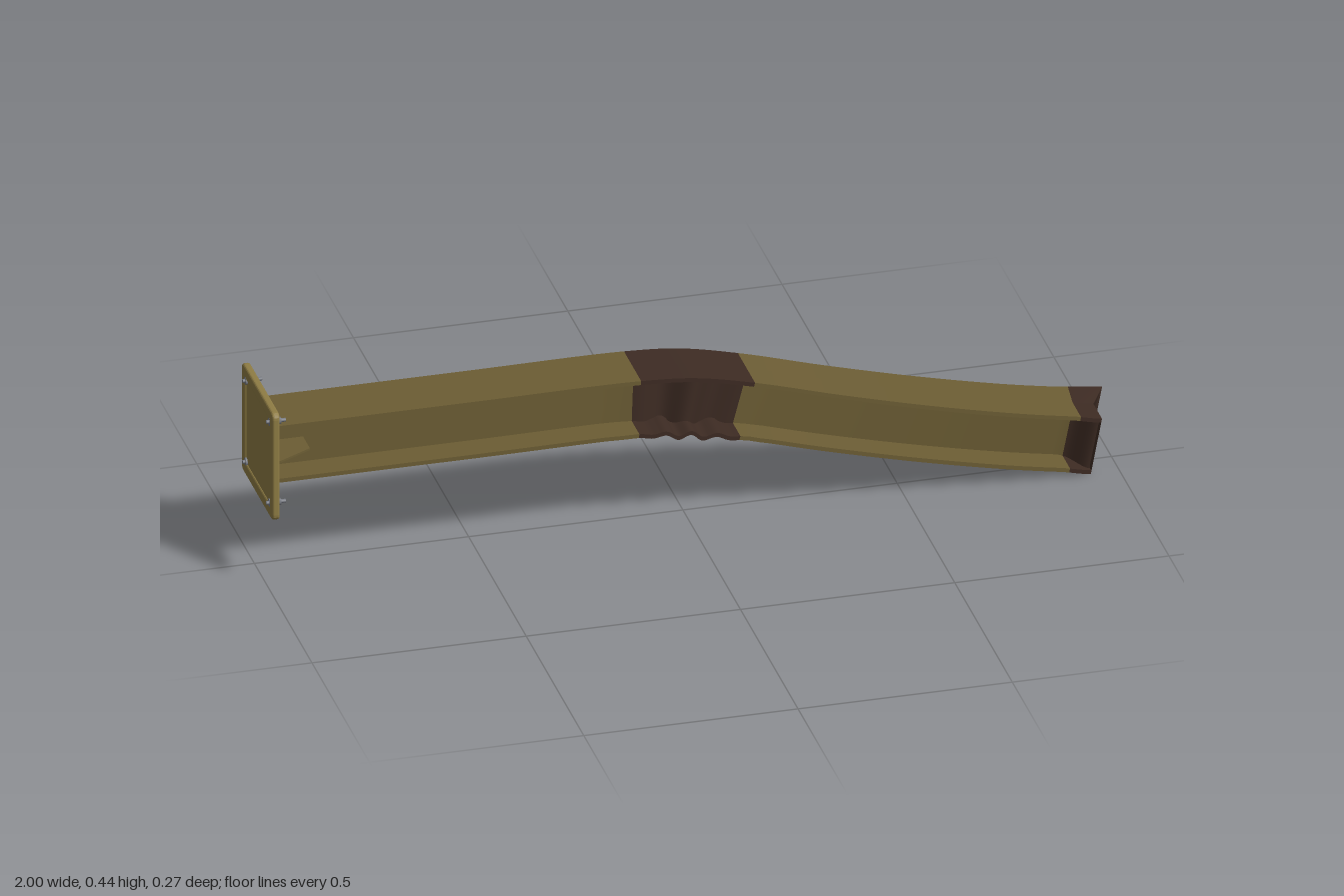
import * as THREE from 'three';

const paint = (name, color, side = THREE.FrontSide) => {
  const m = new THREE.MeshStandardMaterial({ color, side });
  m.name = name;
  return m;
};

// Centreline of the bent beam; numbered points are also the colour breaks
const points = [
  [-0.985, 0.318], [-0.5, 0.318], [-0.12, 0.318], [0, 0.31], [0.13, 0.28],
  [0.33, 0.222], [0.55, 0.164], [0.76, 0.116], [0.9, 0.09], [0.965, 0.079],
];
const path = new THREE.CatmullRomCurve3(points.map(([x, y]) => new THREE.Vector3(x, y, 0)));
const LAST = points.length - 1;
const H = 0.072, W = 0.075, FLANGE = 0.01, WEB = 0.006;

// I-shaped section as [height, side, isWeb], clockwise seen from the far end
const half = [[H, 0], [H, 1], [H - FLANGE, 1], [H - FLANGE, 0, 1],
  [-H + FLANGE, 0, 1], [-H + FLANGE, 1], [-H, 1], [-H, 0]];
const profile = [
  ...half.map(([v, s, web]) => [v, s * W, web ? 1 : 0]),
  ...half.slice(1, -1).reverse().map(([v, s, web]) => [v, -s * W, web ? -1 : 0]),
];

// Position of a section point at path parameter t, with the dents added
function place(t, [v, z, web]) {
  const p = path.getPoint(t), d = path.getTangent(t);
  const buckle = Math.exp(-Math.pow((p.x - 0.01) / 0.1, 2));
  const tip = THREE.MathUtils.smoothstep(p.x, 0.87, 0.965);
  if (web) z = web * (WEB + tip * tip * (W - 0.016)) + 0.018 * buckle * Math.sin(p.x * 48 + 1);
  if (v < 0) v += buckle * (0.007 * Math.sin(p.x * 92 + (z > 0 ? 0.6 : 0)) - 0.006);
  const skew = tip * (-0.27 * z - 0.02 * (1 - Math.abs(z) / W));
  const drift = 0.004 * (v > 0 ? 1 : -1) * THREE.MathUtils.smoothstep(p.x, 0, 0.9) + 0.003 * buckle;
  return [p.x - d.y * v + skew, p.y + d.x * v, z + drift];
}

// Lofted beam piece: smooth along its length, sharp at the section corners
function beamPiece(from, to, steps) {
  const pos = [], index = [];
  profile.forEach((a, k) => {
    const b = profile[(k + 1) % profile.length];
    const base = pos.length / 3;
    for (let i = 0; i <= steps; i++) {
      const t = (from + (to - from) * i / steps) / LAST;
      pos.push(...place(t, a), ...place(t, b));
      if (i < steps) {
        const n = base + i * 2;
        index.push(n, n + 1, n + 2, n + 1, n + 3, n + 2);
      }
    }
  });
  const g = new THREE.BufferGeometry();
  g.setAttribute('position', new THREE.Float32BufferAttribute(pos, 3));
  g.setIndex(index);
  g.computeVertexNormals();
  return g;
}

// Crumpled closing face with a fold down the middle
function endCap() {
  const pos = [];
  for (const s of [-1, 1]) {
    const [a, b, c, d] = [[H, 0, 0], [H, s * W, 0], [-H, s * W, 0], [-H, 0, 0]].map(p => place(1, p));
    const mid = a.map((_, i) => (a[i] + b[i] + c[i] + d[i]) / 4);
    mid[0] -= 0.008;
    for (const [p, q] of [[a, b], [b, c], [c, d], [d, a]]) pos.push(...p, ...q, ...mid);
  }
  const g = new THREE.BufferGeometry();
  g.setAttribute('position', new THREE.Float32BufferAttribute(pos, 3));
  g.computeVertexNormals();
  return g;
}

function roundedSquare(Type, r, c) {
  const s = new Type();
  s.moveTo(-r + c, -r);
  s.lineTo(r - c, -r);
  s.quadraticCurveTo(r, -r, r, -r + c);
  s.lineTo(r, r - c);
  s.quadraticCurveTo(r, r, r - c, r);
  s.lineTo(-r + c, r);
  s.quadraticCurveTo(-r, r, -r, r - c);
  s.lineTo(-r, -r + c);
  s.quadraticCurveTo(-r, -r, -r + c, -r);
  return s;
}

export function createModel() {
  const model = new THREE.Group();
  const olive = paint('olive beam paint', 0x6c5d34, THREE.DoubleSide);
  const plate = paint('ochre plate paint', 0x8e7c44);
  const rust = paint('dark rust', 0x3d2b23, THREE.DoubleSide);
  const steel = paint('bolt steel', 0x777a82);
  const add = (name, geometry, material, parent = model) => {
    const mesh = new THREE.Mesh(geometry, material);
    mesh.name = name;
    parent.add(mesh);
    return mesh;
  };

  // Beam
  add('straightBeam', beamPiece(0, 2, 16), olive);
  add('buckledBeam', beamPiece(2, 4, 40), rust);
  add('bentBeam', beamPiece(4, 8, 32), olive);
  add('crushedTip', beamPiece(8, LAST, 10), rust);
  add('tipFace', endCap(), rust);

  // Mounting plate: recessed panel inside a bevelled rim
  const mount = new THREE.Group();
  mount.name = 'mountingPlate';
  mount.position.set(-0.985, 0.317, 0);
  model.add(mount);
  add('platePanel', new THREE.BoxGeometry(0.01, 0.24, 0.24), plate, mount);
  const outline = roundedSquare(THREE.Shape, 0.13, 0.01);
  outline.holes.push(roundedSquare(THREE.Path, 0.113, 0.006));
  const rimGeometry = new THREE.ExtrudeGeometry(outline, {
    depth: 0.008, bevelThickness: 0.005, bevelSize: 0.006, bevelSegments: 3, curveSegments: 4,
  });
  rimGeometry.translate(0, 0, -0.004);
  rimGeometry.rotateY(Math.PI / 2);
  add('plateRim', rimGeometry, plate, mount);

  // Corner bolts with washers, heads and stud ends
  for (const y of [-0.103, 0.103]) for (const z of [-0.103, 0.103]) {
    const bolt = new THREE.Group();
    bolt.name = 'bolt';
    bolt.position.set(0, y, z);
    bolt.rotation.z = -Math.PI / 2;
    mount.add(bolt);
    add('washer', new THREE.CylinderGeometry(0.0095, 0.0095, 0.018, 16), steel, bolt);
    add('boltHead', new THREE.CylinderGeometry(0.008, 0.008, 0.01, 6), steel, bolt).position.y = 0.014;
    add('boltStud', new THREE.CylinderGeometry(0.0045, 0.0045, 0.045, 10), steel, bolt).position.y = 0.0075;
  }

  // Thin horizontal gussets either side of the web
  for (const s of [-1, 1]) {
    const shape = new THREE.Shape([[0, 0], [0, 0.108], [0.015, 0.108], [0.095, 0.065], [0.095, 0]]
      .map(([x, z]) => new THREE.Vector2(x, z * s)));
    const g = new THREE.ExtrudeGeometry(shape, { depth: 0.005, bevelEnabled: false });
    g.rotateX(Math.PI / 2);
    add('gusset', g, olive).position.set(-0.983, 0.319, 0);
  }
  return model;
}
